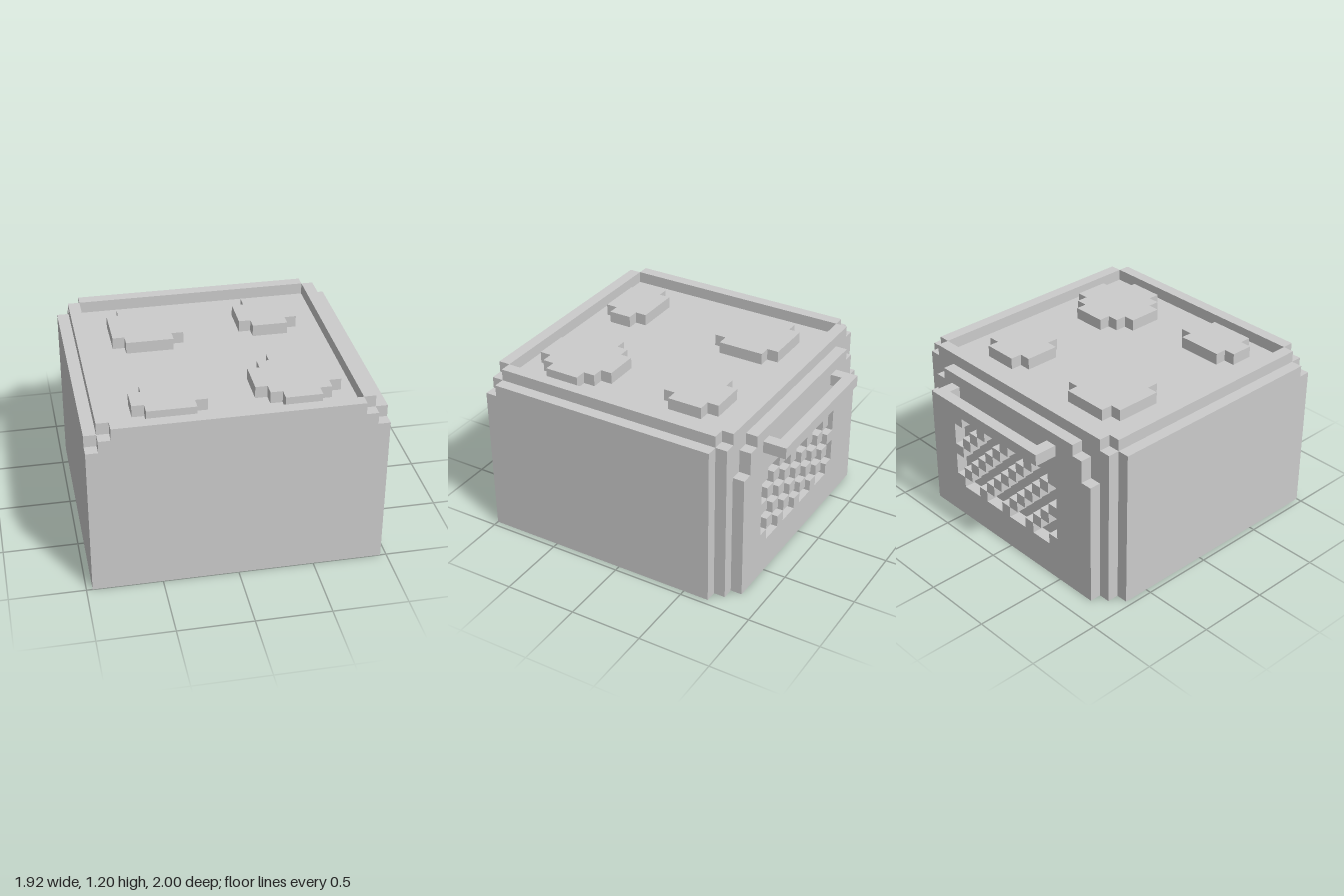
import * as THREE from 'three';

const U = 0.08; // one block

export function createModel() {
  const model = new THREE.Group();
  const material = new THREE.MeshStandardMaterial({ color: 0xcccccc, flatShading: true });

  const add = (name, geometry, parent = model) => {
    const mesh = new THREE.Mesh(geometry, material);
    mesh.name = name;
    parent.add(mesh);
    return mesh;
  };
  // Box given by its limits in blocks
  const box = (name, [x0, x1], [y0, y1], [z0, z1], parent) => {
    const g = new THREE.BoxGeometry((x1 - x0) * U, (y1 - y0) * U, (z1 - z0) * U);
    g.translate((x0 + x1) * U / 2, (y0 + y1) * U / 2, (z0 + z1) * U / 2);
    return add(name, g, parent);
  };
  const group = (name) => {
    const g = new THREE.Group();
    g.name = name;
    model.add(g);
    return g;
  };
  const outline = (pts) => pts.map(([x, y]) => new THREE.Vector2(x * U, y * U));

  // Body with stepped corners
  box('body', [-11, 11], [0, 14], [-9.5, 12.5]);
  for (const s of [-1, 1]) {
    const span = (a, b) => (s > 0 ? [a, b] : [-b, -a]);
    box('sidePanel', span(11, 12), [0, 14], [-8.5, 11.5]);
    box('frontCorner', span(11, 12), [0, 13], [11.5, 12.5]);
    box('sideRim', span(10, 11), [14, 15], [-8.5, 11.5]);
  }
  box('frontRim', [-10, 10], [14, 15], [11.5, 12.5]);
  box('backRim', [-10, 10], [14, 15], [-9.5, -8.5]);

  // Raised pads on the top, round in block steps
  const pad = (cx, cz, halfW, halfD, steps) => {
    const corner = []; // staircase of the +x +z corner
    for (let i = 0; i <= steps; i++) {
      corner.push([halfW - i, halfD - steps + i]);
      if (i < steps) corner.push([halfW - i - 1, halfD - steps + i]);
    }
    const back = [...corner].reverse();
    const pts = [
      ...corner,
      ...back.map(([x, z]) => [-x, z]),
      ...corner.map(([x, z]) => [-x, -z]),
      ...back.map(([x, z]) => [x, -z]),
    ];
    const g = new THREE.ExtrudeGeometry(new THREE.Shape(outline(pts)), { depth: U, bevelEnabled: false });
    g.rotateX(-Math.PI / 2);
    g.translate(cx * U, 14 * U, cz * U);
    add('topPad', g);
  };
  pad(-5, -3.5, 3, 3, 1);
  pad(5.5, -4, 2.5, 2.5, 1);
  pad(-5, 8.5, 3, 2, 1);
  pad(5.5, 7, 3.5, 3.5, 2);

  // Back plate with stepped shoulders and a window for the grille
  const plate = new THREE.Shape(outline([
    [-10, 0], [10, 0], [10, 11], [9, 11], [9, 13], [8, 13], [8, 14],
    [-8, 14], [-8, 13], [-9, 13], [-9, 11], [-10, 11],
  ]));
  plate.holes.push(new THREE.Path(outline([[-6, 3], [-6, 10], [7, 10], [7, 3]])));
  const plateGeometry = new THREE.ExtrudeGeometry(plate, { depth: U, bevelEnabled: false });
  plateGeometry.translate(0, 0, -10.5 * U);
  add('backPlate', plateGeometry);

  // Grille: diagonal rows of blocks in the window
  const grille = group('grille');
  for (let row = 0; row < 7; row++) {
    for (let col = 0; col < 13; col++) {
      if ((row + col) % 3 === 0) {
        box('grilleBlock', [6 - col, 7 - col], [9 - row, 10 - row], [-10.5, -9.5], grille);
      }
    }
  }

  // Handle
  const handle = group('handle');
  box('handleBar', [-6, 7], [12, 13], [-12.5, -11.5], handle);
  box('handleLeg', [-6, -5], [12, 13], [-11.5, -10.5], handle);
  box('handleLeg', [6, 7], [12, 13], [-11.5, -10.5], handle);

  return model;
}
